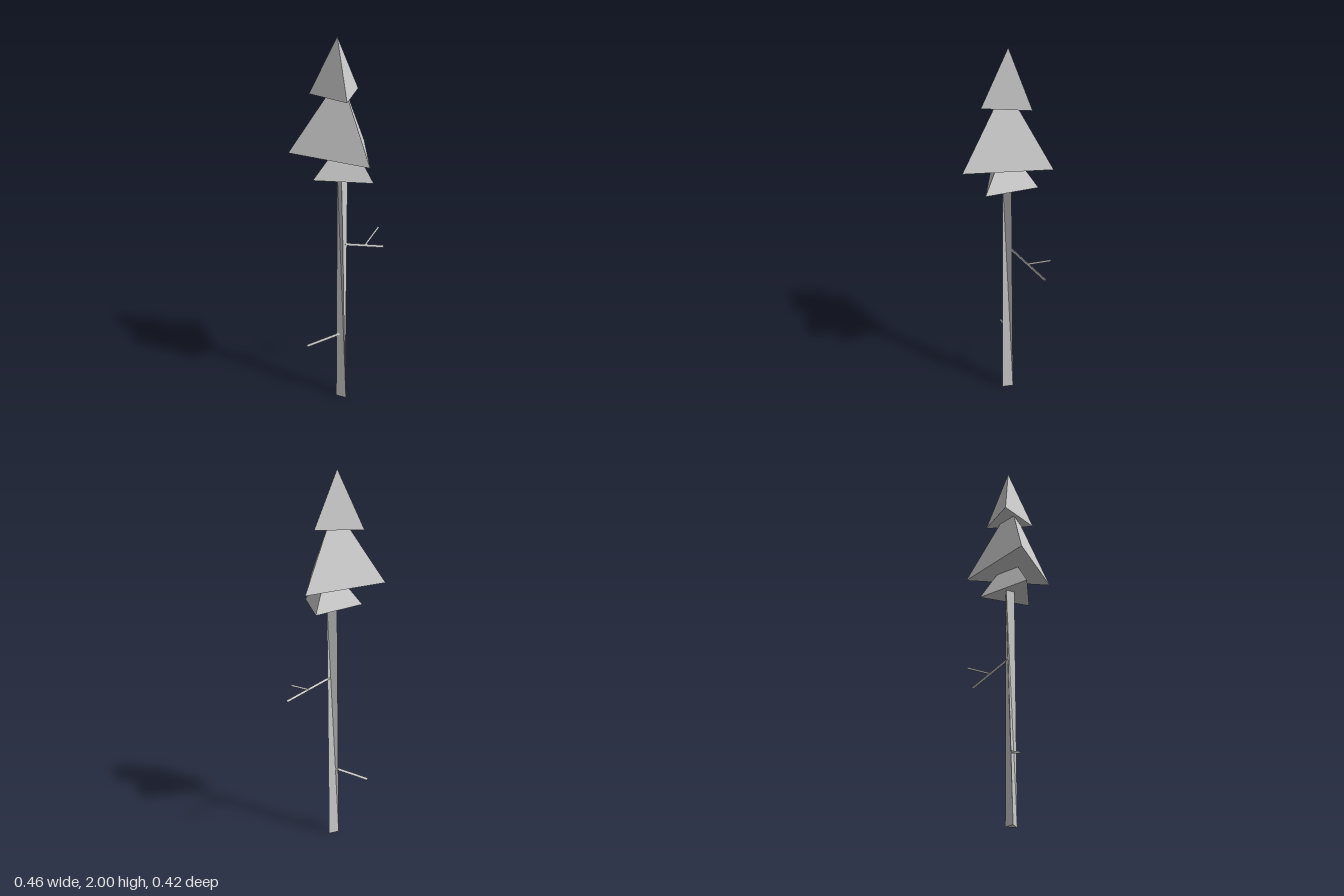
import * as THREE from 'three';

const paleGrey = new THREE.MeshStandardMaterial({ color: 0xcccccc });
paleGrey.name = 'paleGrey';

// Faceted mesh from a flat list of triangles, each three [x, y, z] corners
function facetMesh(name, triangles) {
  const geo = new THREE.BufferGeometry();
  geo.setAttribute('position', new THREE.Float32BufferAttribute(triangles.flat(2), 3));
  geo.computeVertexNormals();
  const mesh = new THREE.Mesh(geo, paleGrey);
  mesh.name = name;
  return mesh;
}

// Closed three-sided pyramid; base corners run anticlockwise seen from above
function pyramid(name, apex, base) {
  const sides = base.map((p, i) => [p, base[(i + 1) % 3], apex]);
  return facetMesh(name, [...sides, [...base].reverse()]);
}

// Slightly twisted three-sided column
function column(name, low, high) {
  const tris = [[...low].reverse(), high];
  for (let i = 0; i < 3; i++) {
    const j = (i + 1) % 3;
    tris.push([low[i], low[j], high[i]], [low[j], high[j], high[i]]);
  }
  return facetMesh(name, tris);
}

// Thin three-sided stick between two points
function stick(name, from, to, radius = 0.008) {
  const a = new THREE.Vector3(...from);
  const b = new THREE.Vector3(...to);
  const dir = b.clone().sub(a);
  const geo = new THREE.CylinderGeometry(radius, radius, dir.length(), 3).toNonIndexed();
  geo.computeVertexNormals();
  const mesh = new THREE.Mesh(geo, paleGrey);
  mesh.name = name;
  mesh.position.copy(a).add(b).multiplyScalar(0.5);
  mesh.quaternion.setFromUnitVectors(new THREE.Vector3(0, 1, 0), dir.normalize());
  return mesh;
}

export function createModel() {
  const tree = new THREE.Group();
  tree.name = 'pineTree';

  tree.add(
    // Trunk
    column('trunk',
      [[0.035, 0, 0.08], [0.005, 0, 0.028], [-0.025, 0, 0.078]],
      [[0.01, 1.3, 0.08], [0.02, 1.3, 0.028], [-0.03, 1.3, 0.047]]),

    // Foliage tiers
    pyramid('lowerFoliage', [0.03, 1.51, 0.055],
      [[0.2, 1.285, 0.102], [0, 1.275, -0.11], [-0.1, 1.28, 0.185]]),
    pyramid('middleFoliage', [0, 1.81, 0.068],
      [[0.23, 1.407, 0.212], [0.01, 1.395, -0.193], [-0.23, 1.412, 0.198]]),
    pyramid('topFoliage', [-0.022, 2, 0.058],
      [[0.083, 1.705, 0.165], [0.025, 1.707, -0.085], [-0.165, 1.7, 0.09]]),

    // Bare branches
    stick('upperBranch', [0.01, 0.895, 0.04], [0.125, 0.812, -0.193]),
    stick('upperTwig', [0.07, 0.855, -0.08], [0.088, 0.912, -0.208], 0.006),
    stick('lowerBranch', [0, 0.38, 0.06], [-0.158, 0.312, 0.158]),
  );
  return tree;
}
